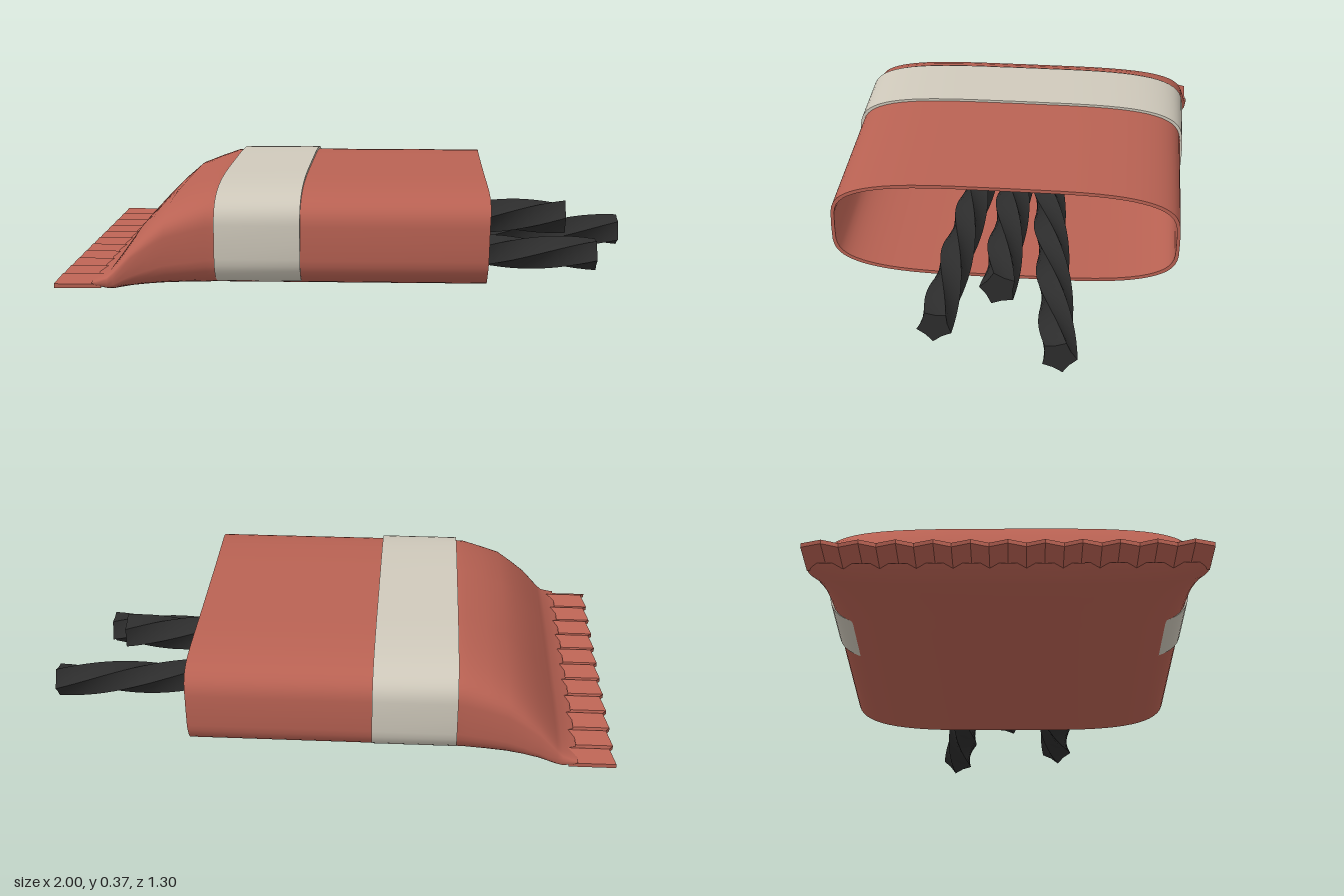
import * as THREE from 'three';
import { toCreasedNormals } from 'three/addons/utils/BufferGeometryUtils.js';

// Skin a list of closed rings (each an array of [x, y, z]), ordered along +x
function loft(rings) {
  const n = rings[0].length, index = [];
  for (let i = 0; i < rings.length - 1; i++) {
    for (let j = 0; j < n; j++) {
      const k = (j + 1) % n;
      const a = i * n + j, b = a + n, c = (i + 1) * n + k, d = i * n + k;
      index.push(a, b, c, a, c, d);
    }
  }
  const geo = new THREE.BufferGeometry();
  geo.setAttribute('position', new THREE.Float32BufferAttribute(rings.flat(2), 3));
  geo.setIndex(index);
  geo.computeVertexNormals();
  return geo;
}

// Rounded-box cross-section across z and y
function section(x, halfWidth, bottom, top, wobble = 0, power = 4) {
  const ring = [], steps = 64, mid = (top + bottom) / 2, h = (top - bottom) / 2;
  const bend = v => Math.sign(v) * Math.pow(Math.abs(v), 2 / power);
  for (let j = 0; j < steps; j++) {
    const t = (j / steps) * Math.PI * 2;
    ring.push([x + wobble * Math.sin(3 * t), mid + h * bend(Math.sin(t)), halfWidth * bend(Math.cos(t))]);
  }
  return ring;
}

// Twisted five-ridged stick from one point to another
function stickGeometry(from, to, radius, turn, phase) {
  const rings = [], steps = 28, sides = 10;
  const ring = (u, scale) => {
    const c = from.map((v, i) => v + (to[i] - v) * u);
    return Array.from({ length: sides }, (_, j) => {
      const a = (j / sides) * Math.PI * 2 + phase + turn * u;
      const r = radius * scale * (j % 2 ? 0.74 : 1);
      return [c[0], c[1] + r * Math.sin(a), c[2] + r * Math.cos(a)];
    });
  };
  rings.push(ring(0, 0.001));
  for (let i = 0; i <= steps; i++) rings.push(ring(i / steps, 1));
  rings.push(ring(1, 0.001));
  return toCreasedNormals(loft(rings), 0.45);
}

// Zigzag crimped strip with a pinked outer edge
function crimpGeometry() {
  const teeth = 22, half = 0.643, shape = new THREE.Shape();
  const z = i => -half + (2 * half * i) / teeth;
  const y = i => (i % 2 ? 0.056 : 0.032);
  shape.moveTo(z(0), y(0));
  for (let i = 1; i <= teeth; i++) shape.lineTo(z(i), y(i));
  for (let i = teeth; i >= 0; i--) shape.lineTo(z(i), y(i) + 0.014);
  const geo = new THREE.ExtrudeGeometry(shape, { depth: 0.16, bevelEnabled: false });
  geo.rotateY(-Math.PI / 2).translate(-0.84, 0, 0);
  const p = geo.attributes.position;
  for (let i = 0; i < p.count; i++) {
    const step = Math.round(((p.getZ(i) + half) / (2 * half)) * teeth);
    if (p.getX(i) < -0.99 && step % 2) p.setX(i, -0.98);
  }
  geo.computeVertexNormals();
  return geo;
}

export function createModel() {
  const group = new THREE.Group();
  const material = (name, color) => new THREE.MeshStandardMaterial({ name, color });
  const red = material('wrapperRed', 0xb96253);
  const cream = material('bandCream', 0xcfc9bb);
  const black = material('stickBlack', 0x2d2d2d);
  const add = (name, geo, mat) => {
    const mesh = new THREE.Mesh(geo, mat);
    mesh.name = name;
    group.add(mesh);
  };

  // Wrapper profile: x, half width, bottom, top
  const profile = [
    [-0.87, 0.648, 0.044, 0.058], [-0.855, 0.648, 0.03, 0.068], [-0.82, 0.643, 0.012, 0.088],
    [-0.8, 0.64, 0.006, 0.115], [-0.74, 0.632, 0.004, 0.2], [-0.685, 0.626, 0.003, 0.255],
    [-0.63, 0.621, 0.002, 0.303], [-0.56, 0.616, 0.001, 0.332], [-0.49, 0.613, 0, 0.358],
    [-0.44, 0.611, 0, 0.362], [0, 0.611, 0, 0.362],
  ];
  const t = 0.012;
  const outer = profile.map(p => section(...p));
  const inner = profile.slice(2).reverse().map(([x, w, b, h]) => section(x, w - t, b + t, h - t));
  const lip = () => section(0.465, 0.611, 0, 0.362, 0.005);
  const innerLip = () => section(0.465, 0.611 - t, t, 0.362 - t, 0.005);
  add('wrapper', loft([...outer, lip()]), red);
  add('wrapperRim', loft([lip(), innerLip()]), red);
  add('wrapperLining', loft([innerLip(), ...inner]), red);
  add('crimpedEnd', crimpGeometry(), red);

  // Paper band, tucked flush against the flat underside
  const wrap = (x, grow) => section(x, 0.611 + grow, 0.003 - grow * 0.1, 0.362 + grow)
    .map(([px, py, pz]) => [px, Math.max(py, 0.003), pz]);
  const [x0, x1] = [-0.46, -0.17];
  add('paperBand', loft([wrap(x0, 0.009), wrap(x1, 0.009)]), cream);
  add('bandEdgeBack', loft([wrap(x0, -0.002), wrap(x0, 0.009)]), cream);
  add('bandEdgeFront', loft([wrap(x1, 0.009), wrap(x1, -0.002)]), cream);

  // Twisted sticks
  add('stickRight', stickGeometry([0.02, 0.075, -0.125], [1, 0.068, -0.228], 0.061, 4.2, 0.3), black);
  add('stickMiddle', stickGeometry([-0.18, 0.162, -0.01], [0.775, 0.163, -0.012], 0.064, 4.2, 0.9), black);
  add('stickLeft', stickGeometry([-0.08, 0.068, 0.14], [0.87, 0.066, 0.192], 0.061, 4.2, 0.6), black);
  return group;
}
